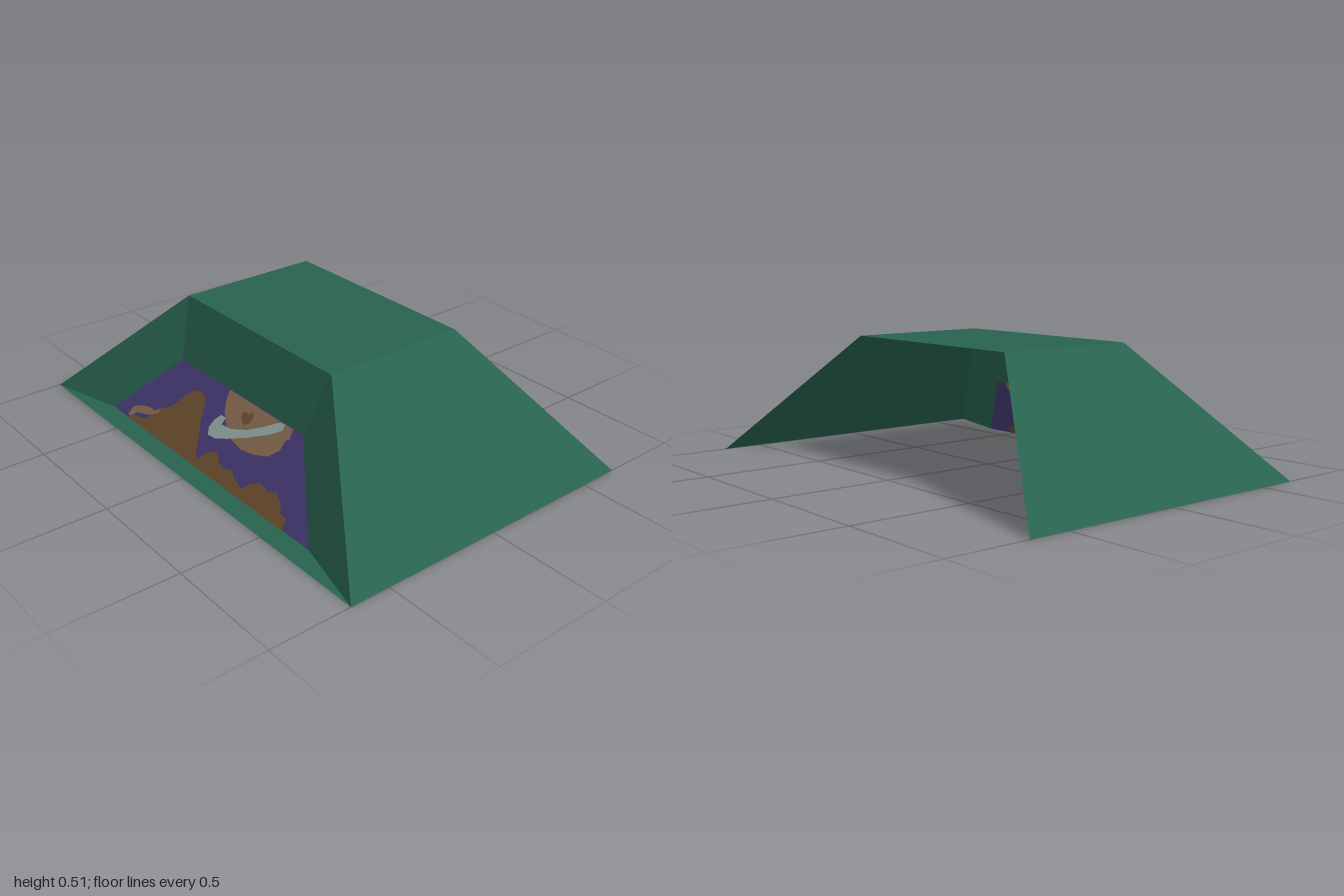
import * as THREE from 'three';

const makeMaterial = (name, color) => {
  const m = new THREE.MeshStandardMaterial({ color, side: THREE.DoubleSide });
  m.name = name;
  return m;
};

export function createModel() {
  const model = new THREE.Group();
  model.name = 'taperedDiorama';

  const green = makeMaterial('dark green', 0x28634f);
  const purple = makeMaterial('night purple', 0x473c78);
  const brown = makeMaterial('mountain brown', 0x6f5030);
  const tan = makeMaterial('planet tan', 0x8a6d52);
  const pale = makeMaterial('ring pale', 0x95aaa6);

  // Flat four-cornered panel, corners counter-clockwise from outside
  const panel = (name, corners, material) => {
    const g = new THREE.BufferGeometry();
    g.setAttribute('position', new THREE.Float32BufferAttribute(corners.flat(), 3));
    g.setIndex([0, 1, 2, 0, 2, 3]);
    const flat = g.toNonIndexed();
    flat.computeVertexNormals();
    const mesh = new THREE.Mesh(flat, material);
    mesh.name = name;
    model.add(mesh);
  };

  // Front opening and recessed picture, each bottom left, bottom right, top right, top left
  const H = 0.515, TX = 0.46, TZ = 0.307, BZ = 0.667;
  const outer = [[-1, 0, BZ], [1, 0, BZ], [TX, H, TZ], [-TX, H, TZ]];
  const inner = [[-0.67, 0, 0.58], [0.67, 0, 0.58], [0.4, 0.272, 0.39], [-0.4, 0.272, 0.39]];
  const back = outer.map(([x, y, z]) => [x, y, -z]);

  // Roof and sloping sides; the back and underside stay open
  panel('roof', [outer[3], outer[2], back[2], back[3]], green);
  panel('leftSide', [outer[1], back[1], back[2], outer[2]], green);
  panel('rightSide', [back[0], outer[0], outer[3], back[3]], green);

  // Recessed frame running from the opening to the picture
  ['frameSill', 'frameLeft', 'frameTop', 'frameRight'].forEach((name, i) => {
    const j = (i + 1) % 4;
    panel(name, [outer[i], outer[j], inner[j], inner[i]], green);
  });
  panel('nightSky', inner, purple);

  // Painted shapes, laid on both faces of the slanted picture
  const paint = (name, points, material, layer) => {
    const shape = new THREE.Shape(points.map(([x, y]) => new THREE.Vector2(x, y)));
    for (const side of [1, -1]) {
      const g = new THREE.ShapeGeometry(shape);
      const p = g.attributes.position;
      for (let i = 0; i < p.count; i++) {
        p.setZ(i, 0.58 - p.getY(i) * (0.19 / 0.272) + side * layer * 0.002);
      }
      g.computeVertexNormals();
      const mesh = new THREE.Mesh(g, material);
      mesh.name = name + (side > 0 ? 'Front' : 'Back');
      model.add(mesh);
    }
  };

  paint('planet', [
    [-0.06, 0.272], [-0.05, 0.235], [-0.03, 0.2], [0.01, 0.17], [0.07, 0.14], [0.14, 0.13],
    [0.22, 0.14], [0.29, 0.16], [0.33, 0.195], [0.335, 0.23], [0.35, 0.24], [0.345, 0.272],
  ], tan, 1);

  paint('crater', [
    [0.065, 0.235], [0.08, 0.24], [0.1, 0.235], [0.115, 0.25], [0.13, 0.24],
    [0.125, 0.215], [0.1, 0.2], [0.07, 0.215],
  ], brown, 2);

  paint('planetRing', [
    [-0.07, 0.135], [-0.06, 0.165], [-0.035, 0.19], [-0.005, 0.19], [-0.01, 0.165], [0.05, 0.17],
    [0.13, 0.195], [0.2, 0.23], [0.26, 0.265], [0.28, 0.272], [0.3, 0.272], [0.3, 0.253],
    [0.25, 0.222], [0.15, 0.175], [0.05, 0.135], [-0.01, 0.115], [-0.055, 0.112],
  ], pale, 3);

  paint('mountains', [
    [-0.56, 0], [-0.52, 0.02], [-0.45, 0.03], [-0.41, 0.06], [-0.39, 0.085], [-0.33, 0.12],
    [-0.28, 0.18], [-0.24, 0.21], [-0.2, 0.215], [-0.16, 0.2], [-0.13, 0.13], [-0.09, 0.07],
    [-0.07, 0.03], [-0.04, 0.03], [-0.02, 0.06], [0.03, 0.08], [0.07, 0.055], [0.1, 0.05],
    [0.15, 0.06], [0.19, 0.04], [0.24, 0.03], [0.27, 0.06], [0.32, 0.08], [0.37, 0.07],
    [0.41, 0.085], [0.46, 0.06], [0.47, 0.04], [0.51, 0.035], [0.52, 0],
  ], brown, 1);

  paint('ridgeHighlight', [
    [-0.56, 0.01], [-0.55, 0.045], [-0.5, 0.065], [-0.45, 0.075], [-0.41, 0.075], [-0.385, 0.095],
    [-0.385, 0.075], [-0.42, 0.055], [-0.46, 0.045], [-0.51, 0.035], [-0.54, 0.01],
  ], tan, 2);

  return model;
}
